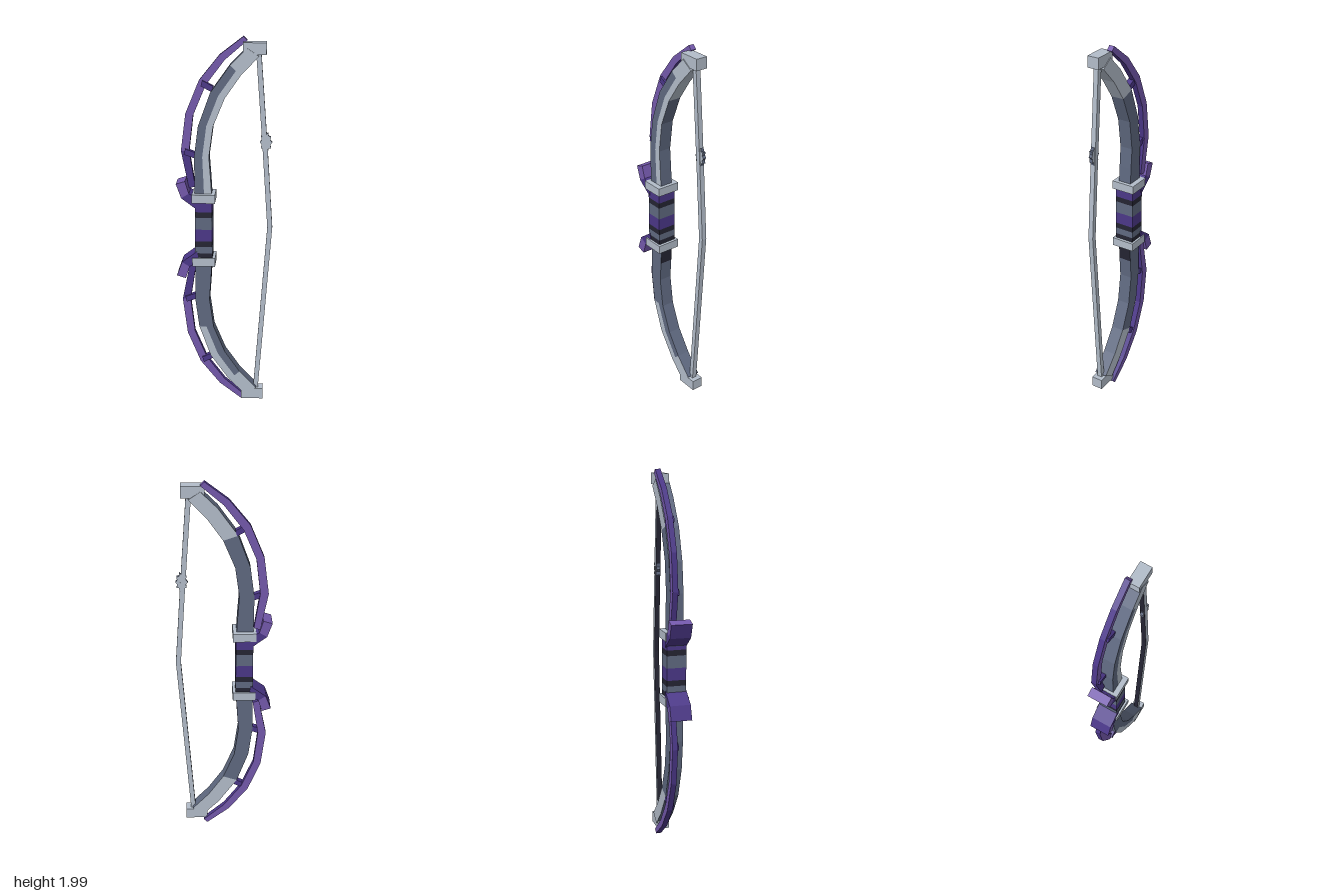
import * as THREE from 'three';

const mat = (name, color, side = THREE.FrontSide) => {
  const m = new THREE.MeshStandardMaterial({ color, side });
  m.name = name;
  return m;
};

export function createModel() {
  const M = {
    light: mat('pale steel', 0xb3bdca),
    slate: mat('slate', 0x5f6980),
    violet: mat('violet', 0x7459ac),
    purple: mat('deep purple', 0x4b3788),
    black: mat('near black', 0x252533),
  };
  const names = Object.keys(M);
  const model = new THREE.Group();

  // Faceted strip between edges a (left) and b (right), running upwards, z0..z1 deep.
  // Each face colour is one name or one name per segment; low mirrors it about y = 1.
  function strip(name, a, b, z0, z1, faces, low = false) {
    const n = a.length - 1;
    if (low) [a, b] = [a, b].map(e => e.map(([x, y]) => [x, 2 - y]).reverse());
    const at = (f, i) => {
      const c = faces[f];
      return Array.isArray(c) ? c[Math.min(low ? n - 1 - i : i, c.length - 1)] : c;
    };
    const pos = [], geo = new THREE.BufferGeometry();
    const quad = (color, ...q) => {
      geo.addGroup(pos.length / 3, 6, names.indexOf(color));
      for (const k of [0, 1, 2, 0, 2, 3]) pos.push(...q[k]);
    };
    const F = p => [p[0], p[1], z1], B = p => [p[0], p[1], z0];
    for (let i = 0; i < n; i++) {
      const [p, q, r, s] = [a[i], b[i], b[i + 1], a[i + 1]];
      quad(at('front', i), F(p), F(q), F(r), F(s));
      quad(at('back', i), B(q), B(p), B(s), B(r));
      quad(at('left', i), B(p), F(p), F(s), B(s));
      quad(at('right', i), F(q), B(q), B(r), F(r));
    }
    quad(at('front', 0), B(a[0]), B(b[0]), F(b[0]), F(a[0]));
    quad(at('front', n - 1), F(a[n]), F(b[n]), B(b[n]), B(a[n]));
    geo.setAttribute('position', new THREE.Float32BufferAttribute(pos, 3));
    geo.computeVertexNormals();
    const mesh = new THREE.Mesh(geo, names.map(k => M[k]));
    mesh.name = name;
    model.add(mesh);
  }

  function box(name, color, x0, x1, y0, y1, z0, z1) {
    const mesh = new THREE.Mesh(new THREE.BoxGeometry(x1 - x0, y1 - y0, z1 - z0), M[color]);
    mesh.position.set((x0 + x1) / 2, (y0 + y1) / 2, (z0 + z1) / 2);
    mesh.name = name;
    model.add(mesh);
  }

  // Wrapped grip
  [['black', 0.82, 0.875], ['slate', 0.875, 0.91], ['black', 0.91, 0.94], ['purple', 0.94, 1.005],
    ['slate', 1.005, 1.07], ['black', 1.07, 1.1], ['purple', 1.1, 1.18]]
    .forEach(([c, y0, y1]) => box('gripBand', c, -0.155, -0.065, y0, y1, -0.052, 0.052));

  // Limb edges, from the grip to the tip
  const outer = [[-0.155, 1.12], [-0.157, 1.28], [-0.158, 1.39], [-0.137, 1.55], [-0.075, 1.72], [0.025, 1.86], [0.11, 1.945]];
  const inner = [[-0.065, 1.12], [-0.074, 1.28], [-0.082, 1.39], [-0.06, 1.55], [0, 1.695], [0.08, 1.81], [0.17, 1.905]];
  const mid = t => outer.map(([x, y], i) => [x + (inner[i][0] - x) * t, y + (inner[i][1] - y) * t]);
  const S = 'slate', L = 'light';
  const tipLight = [S, S, S, S, L, L];
  const up = mid(0.55), down = mid(0.5);
  strip('upperLimbOuter', outer, up, -0.035, 0.035,
    { front: [S, S, S, S, S, L], back: tipLight, left: S, right: S });
  strip('upperLimbInner', up, inner, -0.035, 0.035,
    { front: L, back: tipLight, left: S, right: tipLight });
  strip('lowerLimbOuter', outer, down, -0.035, 0.035,
    { front: [S, S, S, L, L, L], back: tipLight, left: S, right: S }, true);
  strip('lowerLimbInner', down, inner, -0.035, 0.035,
    { front: [S, S, S, S, S, L], back: tipLight, left: S, right: ['black', S] }, true);

  // Guard blade standing off each limb
  const bladeOut = [[-0.19, 1.21], [-0.23, 1.41], [-0.205, 1.605], [-0.135, 1.775], [-0.03, 1.905], [0.09, 1.997]];
  const bladeIn = [[-0.157, 1.22], [-0.187, 1.41], [-0.165, 1.597], [-0.1, 1.752], [-0.003, 1.88], [0.11, 1.977]];
  const hookOut = [[-0.145, 1.115], [-0.225, 1.175], [-0.252, 1.25]];
  const hookIn = [[-0.135, 1.17], [-0.185, 1.2], [-0.205, 1.265]];
  for (const low of [false, true]) {
    const side = low ? 'lower' : 'upper';
    strip(side + 'Blade', bladeOut, bladeIn, -0.043, -0.014,
      { front: ['purple', 'violet'], back: 'violet', left: 'purple', right: 'purple' }, low);
    // Small struts from blade to limb
    for (const [x0, y0, x1, y1] of [[-0.125, 1.765, -0.06, 1.73], [-0.215, 1.41, -0.15, 1.385]])
      strip(side + 'Strut', [[x0, y0 - 0.017], [x0 + 0.008, y0 + 0.012]], [[x1 - 0.008, y1 - 0.012], [x1, y1 + 0.017]],
        -0.035, -0.003, { front: 'purple', back: 'purple', left: 'purple', right: 'purple' }, low);
    // Bent hook beside the grip
    strip(side + 'Hook', hookOut, hookIn, -0.057, 0.055,
      { front: ['purple', 'violet'], back: ['purple', 'violet'], left: 'purple', right: ['purple', 'violet'] }, low);
    // Collar and tip block
    const span = (y0, y1) => low ? [2 - y1, 2 - y0] : [y0, y1];
    box(side + 'Collar', L, -0.17, -0.05, ...span(1.15, 1.195), -0.063, 0.063);
    box(side + 'TipBlock', L, 0.09, 0.207, ...span(1.913, 1.972), -0.031, 0.031);
  }

  // String, drawn slightly back
  const string = [[0.167, 0.08], [0.234, 1.01], [0.205, 1.43], [0.167, 1.93]];
  strip('string', string.map(([x, y]) => [x - 0.013, y]), string.map(([x, y]) => [x + 0.013, y]),
    -0.013, 0.013, { front: L, back: L, left: 'black', right: L });

  // Serrated knot on the string
  const knot = new THREE.Shape();
  for (let i = 0; i < 20; i++) {
    const r = i % 2 ? 0.031 : 0.042, t = i / 20 * Math.PI * 2;
    knot[i ? 'lineTo' : 'moveTo'](0.75 * r * Math.cos(t), 1.25 * r * Math.sin(t));
  }
  const knotMesh = new THREE.Mesh(
    new THREE.ExtrudeGeometry(knot, { depth: 0.018, bevelEnabled: false }), [M.light, M.slate]);
  knotMesh.position.set(0.209, 1.465, -0.009);
  knotMesh.name = 'stringKnot';
  model.add(knotMesh);

  return model;
}
